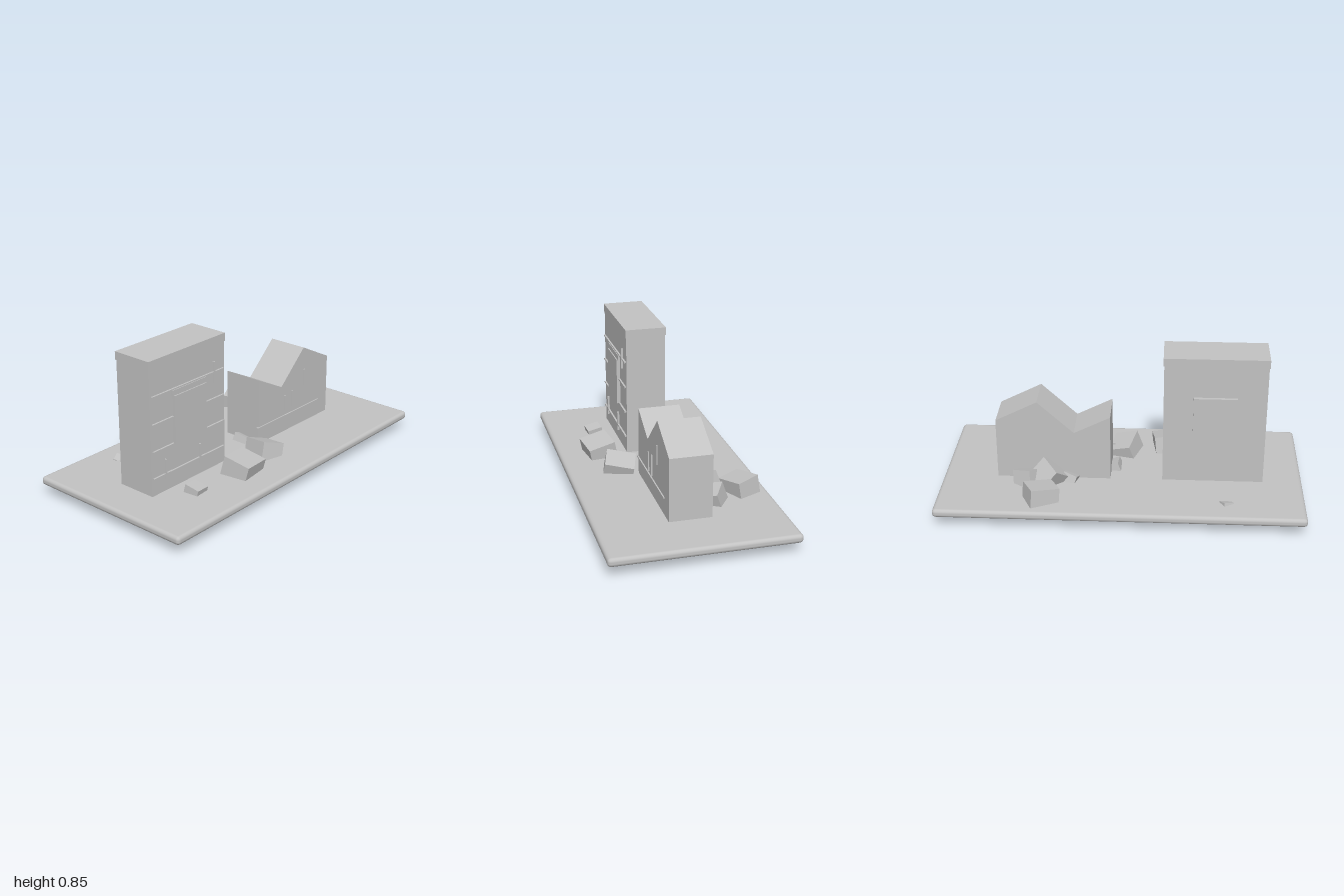
import * as THREE from 'three';
import { RoundedBoxGeometry } from 'three/addons/geometries/RoundedBoxGeometry.js';

export function createModel() {
  const root = new THREE.Group();
  const stone = new THREE.MeshStandardMaterial({ color: 0xc2c2c2 });
  stone.name = 'grey stone';

  const add = (parent, name, geometry, x = 0, y = 0, z = 0) => {
    const mesh = new THREE.Mesh(geometry, stone);
    mesh.name = name;
    mesh.position.set(x, y, z);
    parent.add(mesh);
    return mesh;
  };
  // Box given by its lower and upper limits on each axis
  const block = (parent, name, x0, x1, y0, y1, z0, z1) =>
    add(parent, name, new THREE.BoxGeometry(x1 - x0, y1 - y0, z1 - z0),
      (x0 + x1) / 2, (y0 + y1) / 2, (z0 + z1) / 2);
  const group = (name) => {
    const g = new THREE.Group();
    g.name = name;
    root.add(g);
    return g;
  };

  // Ground slab with softened edges
  add(root, 'groundSlab', new RoundedBoxGeometry(2, 0.048, 1, 2, 0.02), 0, 0.084, 0);

  // Tall standing wall with a slightly wider cap
  const tall = group('tallWall');
  block(tall, 'wallBody', -0.781, -0.224, 0.09, 0.81, -0.113, 0.113);
  block(tall, 'wallCap', -0.785, -0.22, 0.803, 0.848, -0.117, 0.117);

  // Blocked window on both faces, with a lintel in front
  block(tall, 'windowFront', -0.62, -0.385, 0.355, 0.622, 0.11, 0.133);
  block(tall, 'windowBack', -0.62, -0.385, 0.355, 0.622, -0.132, -0.11);
  block(tall, 'lintel', -0.63, -0.378, 0.622, 0.652, 0.11, 0.127);

  // Mortar courses and cracks on the tall wall
  for (const y of [0.205, 0.355, 0.505, 0.655])
    block(tall, 'mortarCourse', -0.772, -0.235, y - 0.004, y + 0.004, 0.11, 0.123);
  for (const [x, y0, y1] of [[-0.31, 0.595, 0.715], [-0.685, 0.175, 0.29], [-0.425, 0.17, 0.285]])
    block(tall, 'crack', x - 0.004, x + 0.004, y0, y1, 0.11, 0.125);

  // Broken wall with a jagged top
  const broken = group('brokenWall');
  const outline = new THREE.Shape([
    [0.065, 0.09], [0.695, 0.09], [0.695, 0.457], [0.465, 0.573], [0.265, 0.39], [0.065, 0.49],
  ].map(([x, y]) => new THREE.Vector2(x, y)));
  add(broken, 'brokenBody',
    new THREE.ExtrudeGeometry(outline, { depth: 0.232, bevelEnabled: false }), 0, 0, -0.116);
  block(broken, 'mortarCourse', 0.05, 0.615, 0.201, 0.209, 0.11, 0.123);
  for (const [x, y0, y1] of [[0.295, 0.22, 0.33], [0.36, 0.22, 0.34], [0.47, 0.33, 0.44]])
    block(broken, 'crack', x - 0.005, x + 0.005, y0, y1, 0.11, 0.123);

  // Fallen stones: centre, size, then pitch, yaw and roll
  const rubble = group('rubble');
  const stones = [
    [-0.575, 0.09, -0.35, 0.06, 0.05, 0.05, 0.25, 0.55, 0.2],
    [-0.59, 0.098, 0.232, 0.085, 0.09, 0.085, 0.2, 0.08, -0.08],
    [-0.258, 0.128, 0.272, 0.175, 0.13, 0.155, 0.22, 0.13, -0.08],
    [-0.006, 0.125, 0.212, 0.135, 0.11, 0.165, -0.18, -0.25, -0.3],
    [0.045, 0.095, 0.025, 0.075, 0.08, 0.11, 0.1, -0.05, -0.4],
    [0.43, 0.12, -0.353, 0.16, 0.14, 0.14, 0.1, 0.45, 0.13],
    [0.51, 0.115, -0.165, 0.12, 0.13, 0.14, 0.25, -0.6, -0.25],
    [0.4, 0.127, -0.15, 0.13, 0.15, 0.17, 0.6, -0.6, 0.45],
    [0.295, 0.095, -0.135, 0.08, 0.1, 0.08, 0.35, -0.2, 0.3],
  ];
  for (const [x, y, z, w, h, d, pitch, yaw, roll] of stones)
    add(rubble, 'fallenStone', new THREE.BoxGeometry(w, h, d), x, y, z)
      .rotation.set(pitch, yaw, roll, 'YXZ');

  return root;
}
